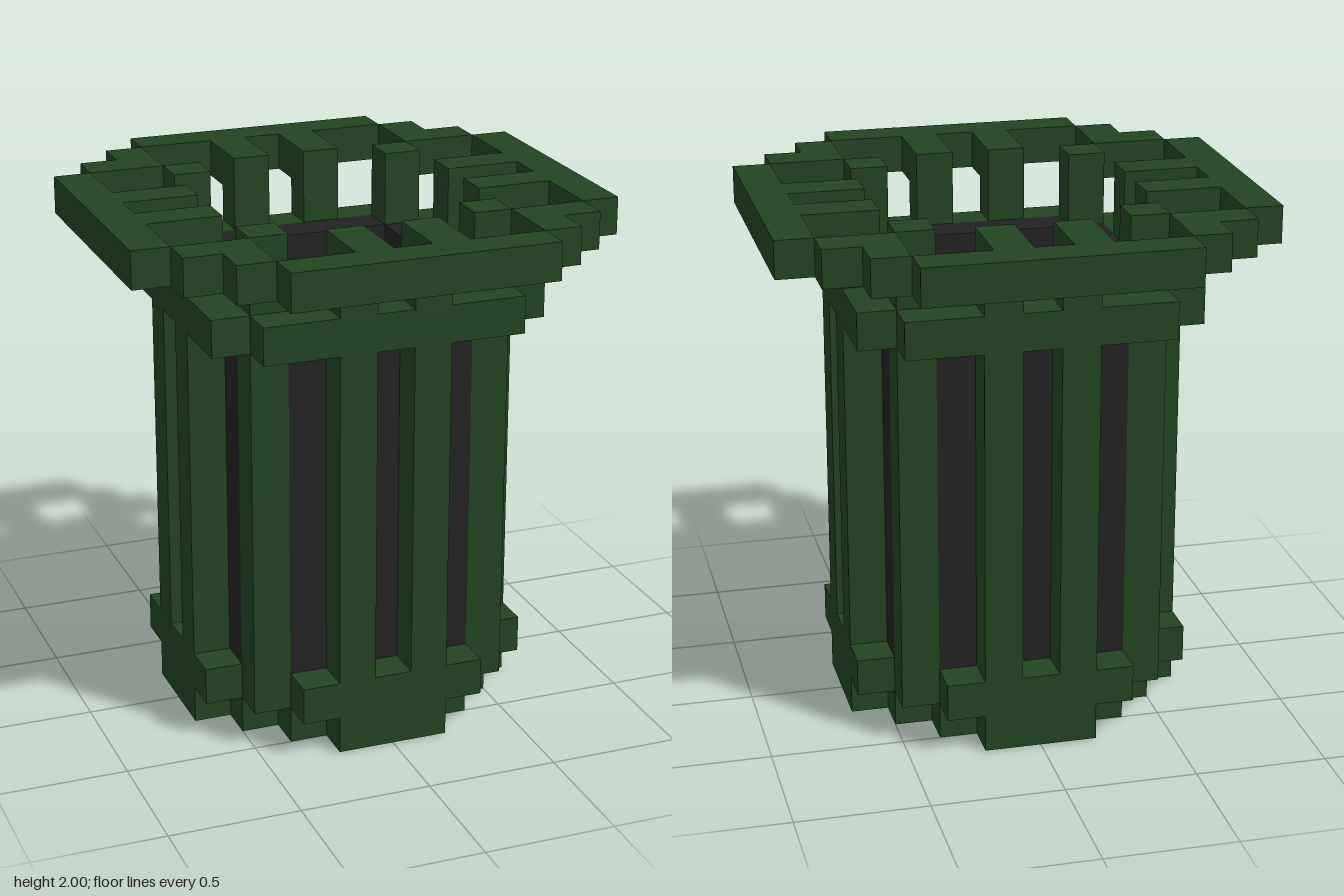
import * as THREE from 'three';

const U = 1 / 7; // one block

export function createModel() {
  const green = new THREE.MeshStandardMaterial({ color: 0x224422 });
  green.name = 'dark green metal';
  const black = new THREE.MeshStandardMaterial({ color: 0x222222 });
  black.name = 'black liner';

  const model = new THREE.Group();
  model.name = 'litterBin';

  const group = (name) => {
    const g = new THREE.Group();
    g.name = name;
    model.add(g);
    return g;
  };

  // Box centred on block (x, z), w by d blocks wide, from height y0 to y1 in blocks
  const box = (parent, name, mat, x, z, w, d, y0, y1) => {
    const mesh = new THREE.Mesh(new THREE.BoxGeometry(w * U, (y1 - y0) * U, d * U), mat);
    mesh.position.set(x * U, ((y0 + y1) / 2) * U, z * U);
    mesh.name = name;
    parent.add(mesh);
  };

  // Stepped round base: two layers, the lower one smaller
  const base = group('base');
  [5, 6].forEach((reach, layer) => {
    for (let z = -4; z <= 4; z++) {
      const half = Math.min(4, reach - Math.abs(z));
      box(base, 'baseRow', green, 0, z, 2 * half + 1, 1, layer, layer + 1);
    }
  });

  // Black inner bucket
  const liner = group('liner');
  box(liner, 'linerFloor', black, 0, 0, 5, 5, 2, 2.05);

  const slats = group('slats');
  const collar = group('collar');
  const rim = group('rim');

  for (const s of [-1, 1]) {
    box(liner, 'linerWall', black, 0, 3 * s, 5, 1, 2, 12);
    box(liner, 'linerWall', black, 3 * s, 0, 1, 5, 2, 12);

    // Band around the top of the slats
    box(collar, 'collarBar', green, 0, 4 * s, 7, 1, 11, 12);
    box(collar, 'collarBar', green, 4 * s, 0, 1, 7, 11, 12);

    // Wide flared rim
    box(rim, 'rimBar', green, 0, 6 * s, 7, 1, 13, 14);
    box(rim, 'rimBar', green, 6 * s, 0, 1, 7, 13, 14);

    for (const t of [-1, 1]) {
      // Side slats, with posts and spokes carrying the rim
      box(slats, 'slat', green, t, 4 * s, 1, 1, 2, 11);
      box(slats, 'slat', green, 4 * s, t, 1, 1, 2, 11);
      box(rim, 'rimPost', green, t, 4 * s, 1, 1, 12, 14);
      box(rim, 'rimPost', green, 4 * s, t, 1, 1, 12, 14);
      box(rim, 'rimSpoke', green, t, 5 * s, 1, 1, 13, 14);
      box(rim, 'rimSpoke', green, 5 * s, t, 1, 1, 13, 14);

      // Full-height corner post and stepped rim corner
      box(slats, 'cornerPost', green, 3 * s, 3 * t, 1, 1, 2, 14);
      box(rim, 'rimCorner', green, 4 * s, 4 * t, 1, 1, 13, 14);
      box(rim, 'rimCorner', green, 4 * s, 5 * t, 1, 1, 13, 14);
      box(rim, 'rimCorner', green, 5 * s, 4 * t, 1, 1, 13, 14);
    }
  }

  return model;
}
